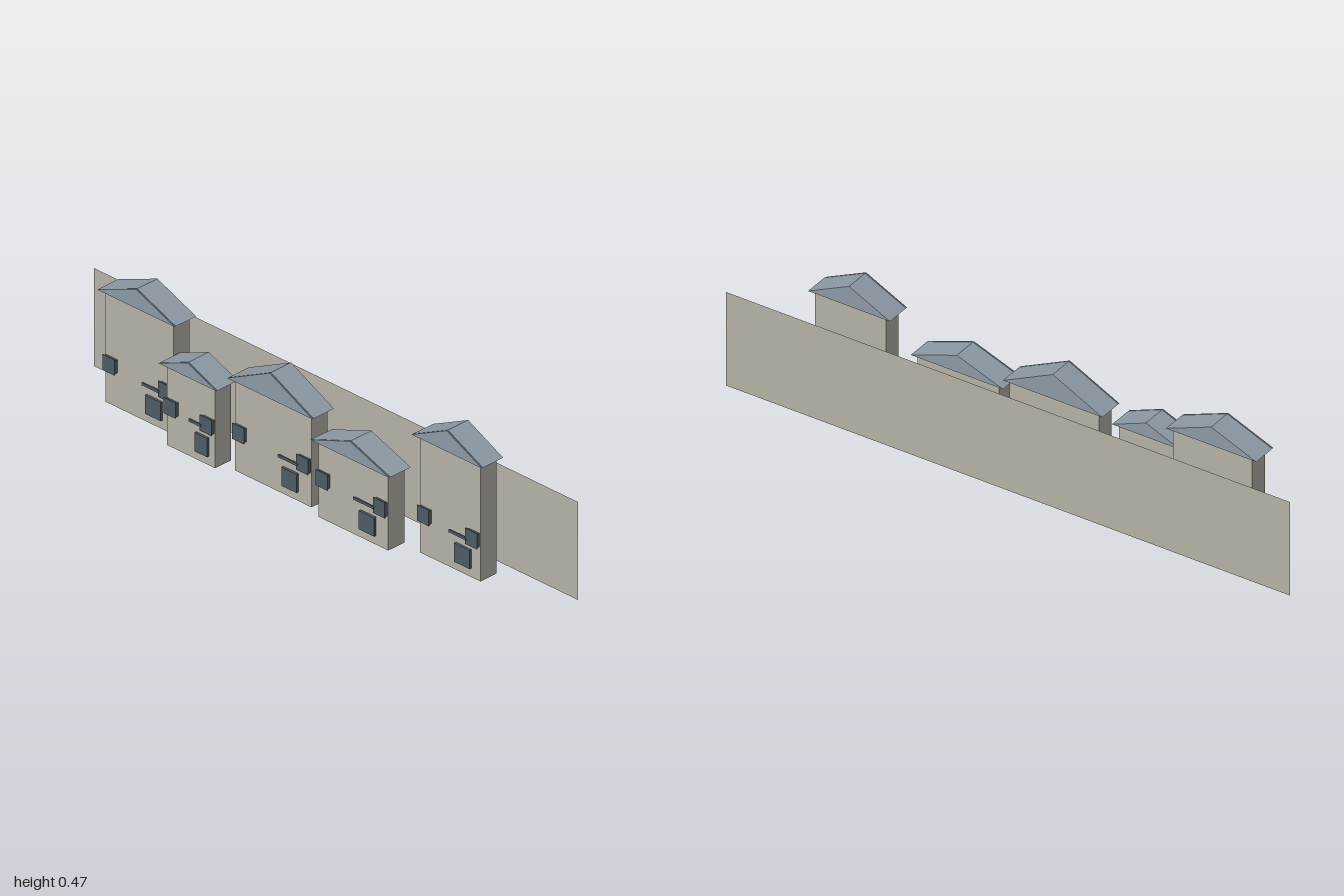
import * as THREE from 'three';

export function createModel() {
  const model = new THREE.Group();
  model.name = 'terrace';

  const wall = new THREE.MeshStandardMaterial({ color: 0xb5b1a6 });
  wall.name = 'stone wall';
  const backdropMat = new THREE.MeshStandardMaterial({ color: 0xb5b1a6, side: THREE.DoubleSide });
  backdropMat.name = 'backdrop stone';
  const slate = new THREE.MeshStandardMaterial({ color: 0x8d9aa5 });
  slate.name = 'slate roof';
  const dark = new THREE.MeshStandardMaterial({ color: 0x4f5b66 });
  dark.name = 'dark window';

  function add(parent, name, geometry, material) {
    const mesh = new THREE.Mesh(geometry, material);
    mesh.name = name;
    parent.add(mesh);
    return mesh;
  }

  // Box given by its limits on each axis
  function box(parent, name, x0, x1, y0, y1, z0, z1, material) {
    const mesh = add(parent, name, new THREE.BoxGeometry(x1 - x0, y1 - y0, z1 - z0), material);
    mesh.position.set((x0 + x1) / 2, (y0 + y1) / 2, (z0 + z1) / 2);
  }

  // Triangular prism running along z
  function gable(parent, name, x0, x1, eave, ridge, z0, z1) {
    const shape = new THREE.Shape([
      new THREE.Vector2(x0, eave),
      new THREE.Vector2(x1, eave),
      new THREE.Vector2((x0 + x1) / 2, ridge),
    ]);
    const geometry = new THREE.ExtrudeGeometry(shape, { depth: z1 - z0, bevelEnabled: false });
    add(parent, name, geometry, slate).position.z = z0;
  }

  // Thin wall behind the houses
  const backdrop = add(model, 'backdropWall', new THREE.PlaneGeometry(2, 0.33), backdropMat);
  backdrop.position.set(0, 0.165, -0.104);

  // Houses: wall sides, eave, ridge, front z, roof overhang, left edge of bar and door
  const houses = [
    { x0: -0.82, x1: -0.54, eave: 0.38, ridge: 0.444, z: 0.03, over: 0.02, bar: -0.655, door: [-0.65, -0.585] },
    { x0: -0.51, x1: -0.31, eave: 0.277, ridge: 0.326, z: 0.088, over: 0.02, bar: -0.404, door: [-0.388, -0.336] },
    { x0: -0.259, x1: 0.057, eave: 0.314, ridge: 0.4, z: 0.056, over: 0.018, bar: -0.067, door: [-0.06, 0.003] },
    { x0: 0.112, x1: 0.4, eave: 0.262, ridge: 0.321, z: 0.082, over: 0.019, bar: 0.27, door: [0.286, 0.35] },
    { x0: 0.474, x1: 0.724, eave: 0.399, ridge: 0.469, z: 0.024, over: 0.02, bar: 0.607, door: [0.623, 0.687] },
  ];

  houses.forEach((h, i) => {
    const house = new THREE.Group();
    house.name = `house${i + 1}`;
    model.add(house);

    box(house, 'walls', h.x0, h.x1, 0.004, h.eave, h.z - 0.067, h.z, wall);

    // Roof and its thin front gable board
    const r0 = h.x0 - h.over, r1 = h.x1 + h.over;
    gable(house, 'roof', r0, r1, h.eave, h.ridge, h.z - 0.075, h.z + 0.0095);
    gable(house, 'gableBoard', r0, r1, h.eave, h.ridge, h.z + 0.012, h.z + 0.015);

    // Upper windows at both ends, each with a thin pane in front
    for (const x of [h.x0 + 0.001, h.x1 - 0.05]) {
      box(house, 'window', x + 0.002, x + 0.047, 0.12, 0.165, h.z, h.z + 0.009, dark);
      box(house, 'windowPane', x, x + 0.049, 0.117, 0.17, h.z + 0.011, h.z + 0.014, dark);
    }

    // Bar beside the right-hand window, and the lower window
    box(house, 'bar', h.bar, h.x1 - 0.045, 0.131, 0.14, h.z + 0.011, h.z + 0.016, dark);
    box(house, 'lowerWindow', h.door[0], h.door[1], 0.034, 0.097, h.z, h.z + 0.008, dark);
  });

  return model;
}
